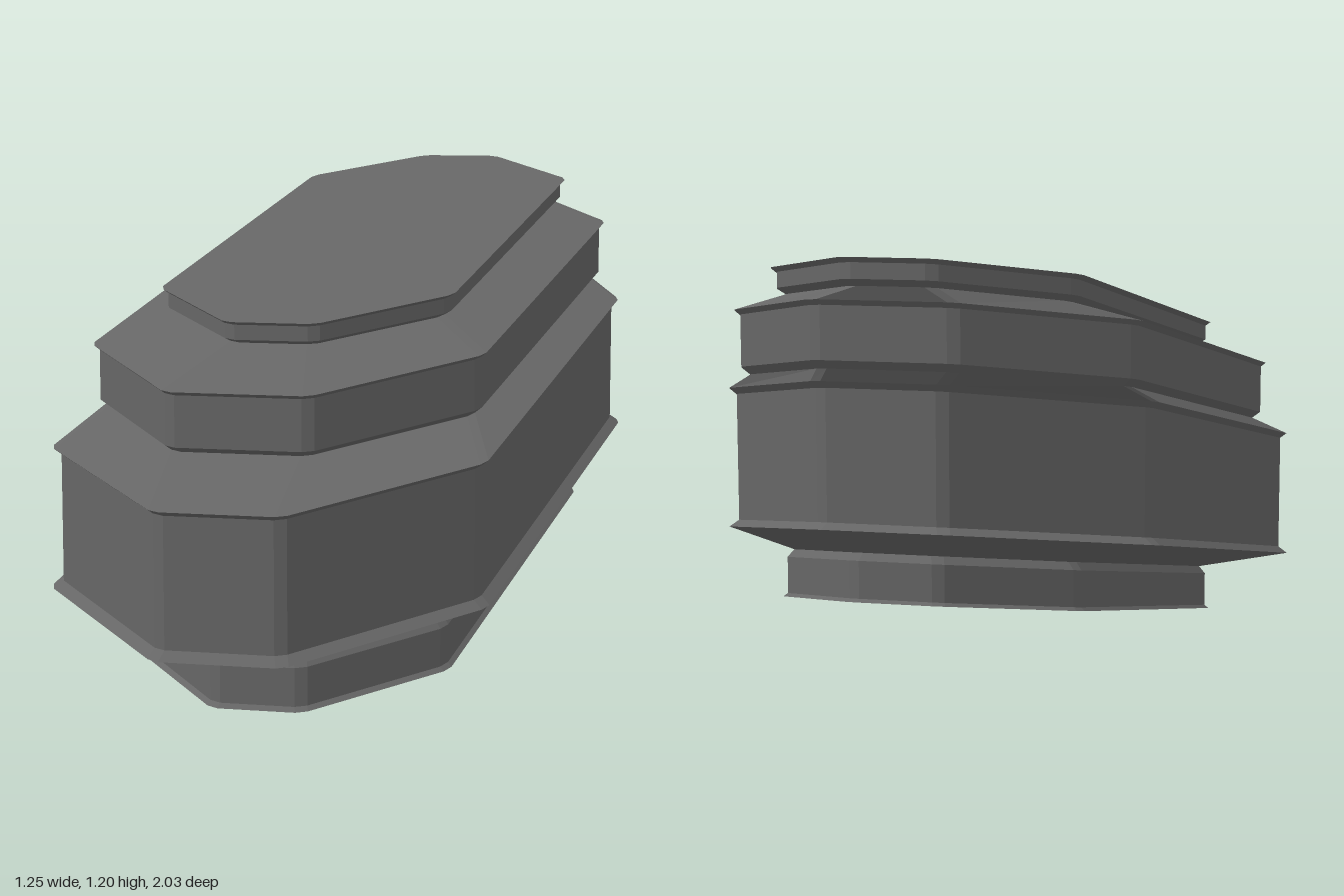
import * as THREE from 'three';

const SLOPE = 0.218; // every tier rises toward the back

// Eight plan corners [x, z] per tier, counterclockwise from above, starting at the front edge
const FOOT = [[-0.16, 0.87], [0.05, 0.87], [0.345, 0.62], [0.5, -0.49], [0.255, -0.735], [0.045, -0.735], [-0.245, -0.49], [-0.4, 0.62]];
const BODY = [[-0.255, 1], [0.035, 1], [0.43, 0.65], [0.6, -0.56], [0.28, -0.905], [-0.01, -0.905], [-0.43, -0.56], [-0.605, 0.65]];
const SHOULDER = [[-0.3, 0.748], [0.04, 0.748], [0.393, 0.44], [0.55, -0.67], [0.275, -0.958], [-0.05, -0.958], [-0.413, -0.67], [-0.572, 0.44]];
const LID = [[-0.215, 0.515], [0, 0.515], [0.288, 0.275], [0.425, -0.77], [0.19, -1], [-0.012, -1], [-0.292, -0.77], [-0.442, 0.275]];

// One tilted ring: corners pushed out by d, each cut into a narrow chamfer
function ring(plan, h, d = 0) {
  const pts = plan.map(p => new THREE.Vector2(...p));
  const n = pts.length;
  const moved = pts.map((p, i) => {
    const a = p.clone().sub(pts[(i + n - 1) % n]).normalize();
    const b = pts[(i + 1) % n].clone().sub(p).normalize();
    const na = new THREE.Vector2(-a.y, a.x), nb = new THREE.Vector2(-b.y, b.x);
    const k = -d / (1 + na.dot(nb));
    return p.clone().addScaledVector(na.add(nb), k);
  });
  const out = [];
  moved.forEach((p, i) => {
    for (const q of [moved[(i + n - 1) % n], moved[(i + 1) % n]]) {
      const c = p.clone().add(q.clone().sub(p).setLength(0.016));
      out.push([c.x, h - SLOPE * c.y, c.y]);
    }
  });
  return out;
}

// Joins rings from bottom to top, with optional flat ends
function loft(rings, capBottom, capTop) {
  const pos = [];
  const n = rings[0].length;
  for (let r = 0; r < rings.length - 1; r++) {
    for (let i = 0; i < n; i++) {
      const j = (i + 1) % n;
      const [a, b, c, d] = [rings[r][i], rings[r][j], rings[r + 1][j], rings[r + 1][i]];
      pos.push(...a, ...b, ...c, ...a, ...c, ...d);
    }
  }
  for (let i = 1; i < n - 1; i++) {
    const lo = rings[0], hi = rings[rings.length - 1];
    if (capBottom) pos.push(...lo[0], ...lo[i + 1], ...lo[i]);
    if (capTop) pos.push(...hi[0], ...hi[i], ...hi[i + 1]);
  }
  const g = new THREE.BufferGeometry();
  g.setAttribute('position', new THREE.Float32BufferAttribute(pos, 3));
  g.computeVertexNormals();
  return g;
}

export function createModel() {
  const group = new THREE.Group();
  group.name = 'tieredBlock';
  const grey = new THREE.MeshStandardMaterial({ color: 0x666666, flatShading: true });
  grey.name = 'dark grey';

  const add = (name, rings, capBottom = false, capTop = false) => {
    const mesh = new THREE.Mesh(loft(rings, capBottom, capTop), grey);
    mesh.name = name;
    group.add(mesh);
  };

  // Rings where two tiers meet are shared
  const footTop = ring(FOOT, 0.318, 0.015);
  const bodyTop = ring(SHOULDER, 0.74, 0.02);
  const shoulderTop = ring(LID, 0.924, 0.02);

  // Foot with a bevelled bottom edge and a small fillet above
  add('foot', [ring(FOOT, 0.197, -0.01), ring(FOOT, 0.206), ring(FOOT, 0.298), footTop], true);

  // Wide body: flared underside, upright wall, sloping top
  add('body', [footTop, ring(BODY, 0.368, -0.022), ring(BODY, 0.386), ring(BODY, 0.698), ring(BODY, 0.712, -0.016), bodyTop]);

  // Shoulder tier
  add('shoulder', [bodyTop, ring(SHOULDER, 0.757), ring(SHOULDER, 0.882), ring(SHOULDER, 0.893, -0.012), shoulderTop]);

  // Lid with a bevelled flat top
  add('lid', [shoulderTop, ring(LID, 0.937), ring(LID, 0.974), ring(LID, 0.984, -0.012)], false, true);

  return group;
}
